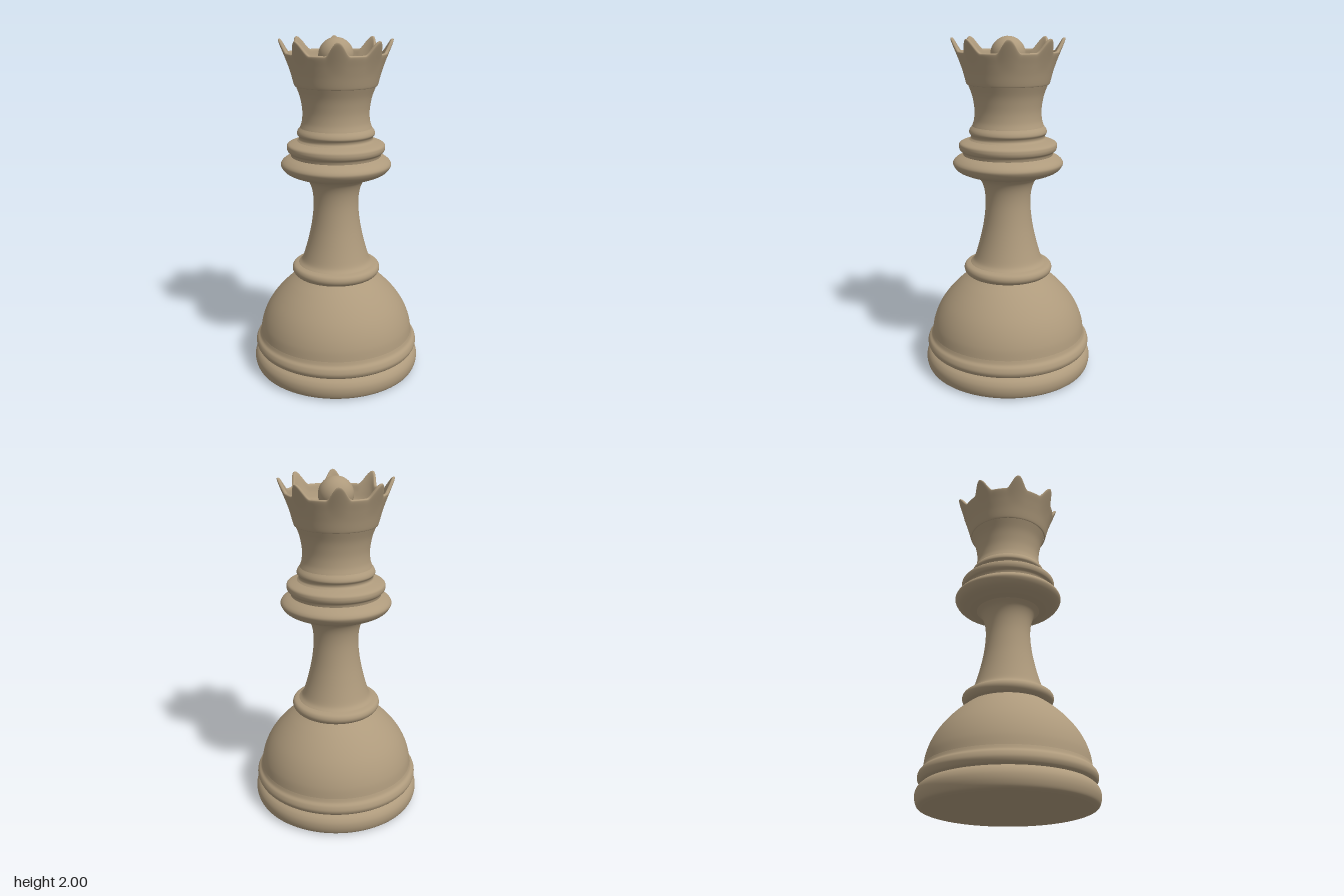
import * as THREE from 'three';
import { mergeVertices } from 'three/addons/utils/BufferGeometryUtils.js';

const SEGMENTS = 128;

// Smooth curve through [radius, height] pairs, ready for turning
function smoothProfile(pairs, steps = 6) {
  const curve = new THREE.SplineCurve(pairs.map(([r, y]) => new THREE.Vector2(r, y)));
  return curve.getPoints((pairs.length - 1) * steps).map(p => p.setX(Math.max(0, p.x)));
}

// Turned sections from the bottom up; each joint between them is a sharp crease
const SECTIONS = {
  foot: [[0.465, 0], [0.492, 0.012], [0.505, 0.045], [0.505, 0.08], [0.492, 0.108], [0.47, 0.127]],
  footRing: [[0.47, 0.127], [0.487, 0.138], [0.497, 0.163], [0.49, 0.19], [0.474, 0.208], [0.466, 0.23]],
  dome: [[0.466, 0.23], [0.457, 0.29], [0.435, 0.355], [0.4, 0.42], [0.35, 0.485], [0.29, 0.545], [0.228, 0.594]],
  collar: [[0.228, 0.594], [0.248, 0.602], [0.262, 0.62], [0.264, 0.64], [0.253, 0.658], [0.225, 0.668]],
  stem: [[0.225, 0.668], [0.205, 0.69], [0.187, 0.74], [0.165, 0.82], [0.146, 0.91], [0.135, 1.0],
    [0.134, 1.07], [0.143, 1.13], [0.162, 1.175], [0.19, 1.203]],
  wideRing: [[0.19, 1.203], [0.24, 1.213], [0.295, 1.237], [0.321, 1.27], [0.318, 1.292], [0.295, 1.312], [0.262, 1.328]],
  middleRing: [[0.262, 1.328], [0.267, 1.345], [0.281, 1.358], [0.286, 1.38], [0.276, 1.4], [0.225, 1.417]],
  upperRing: [[0.225, 1.417], [0.215, 1.428], [0.216, 1.442], [0.226, 1.458], [0.222, 1.476], [0.208, 1.495]],
  neck: [[0.208, 1.495], [0.197, 1.53], [0.193, 1.58], [0.198, 1.63], [0.209, 1.68], [0.23, 1.735]],
};

// Crown wall: up the outside, over the rim, down into the bowl
const CROWN = [[0.23, 1.735], [0.238, 1.738], [0.255, 1.8], [0.272, 1.855], [0.288, 1.903], [0.287, 1.915],
  [0.277, 1.917], [0.268, 1.908], [0.257, 1.87], [0.238, 1.83], [0.2, 1.802], [0.12, 1.79], [0, 1.788]];

// Raise eight flaring points out of the turned crown
function crownGeometry() {
  const geometry = new THREE.LatheGeometry(smoothProfile(CROWN), SEGMENTS * 2);
  const pos = geometry.attributes.position;
  const step = Math.PI / 4;
  for (let i = 0; i < pos.count; i++) {
    const x = pos.getX(i), y = pos.getY(i), z = pos.getZ(i);
    const r = Math.hypot(x, z);
    if (y < 1.81 || r < 0.2) continue;
    const angle = Math.atan2(z, x) + Math.PI * 2;
    const toPoint = Math.abs((angle % step) / step - 0.5) * 2; // 0 at a point, 1 mid valley
    const lift = (1 + Math.cos(Math.PI * Math.min(toPoint / 0.62, 1))) / 2;
    const weight = THREE.MathUtils.clamp((y - 1.81) / 0.105, 0, 1);
    const flare = (r + 0.036 * lift * weight * weight) / r;
    pos.setXYZ(i, x * flare, y + 0.074 * lift * weight * weight, z * flare);
  }
  geometry.deleteAttribute('uv');
  geometry.deleteAttribute('normal');
  const merged = mergeVertices(geometry, 1e-5);
  merged.computeVertexNormals();
  return merged;
}

export function createModel() {
  const group = new THREE.Group();
  const wood = new THREE.MeshStandardMaterial({ color: 0xae9a7c });
  wood.name = 'wood';

  const add = (name, geometry) => {
    const mesh = new THREE.Mesh(geometry, wood);
    mesh.name = name;
    group.add(mesh);
    return mesh;
  };

  // Turned body
  for (const [name, pairs] of Object.entries(SECTIONS)) {
    add(name, new THREE.LatheGeometry(smoothProfile(pairs), SEGMENTS));
  }

  // Flat underside
  add('underside', new THREE.CircleGeometry(0.465, SEGMENTS)).rotation.x = Math.PI / 2;

  // Crown and the ball inside it
  add('crown', crownGeometry());
  add('crownBall', new THREE.SphereGeometry(0.1, 48, 32)).position.y = 1.9;

  return group;
}
